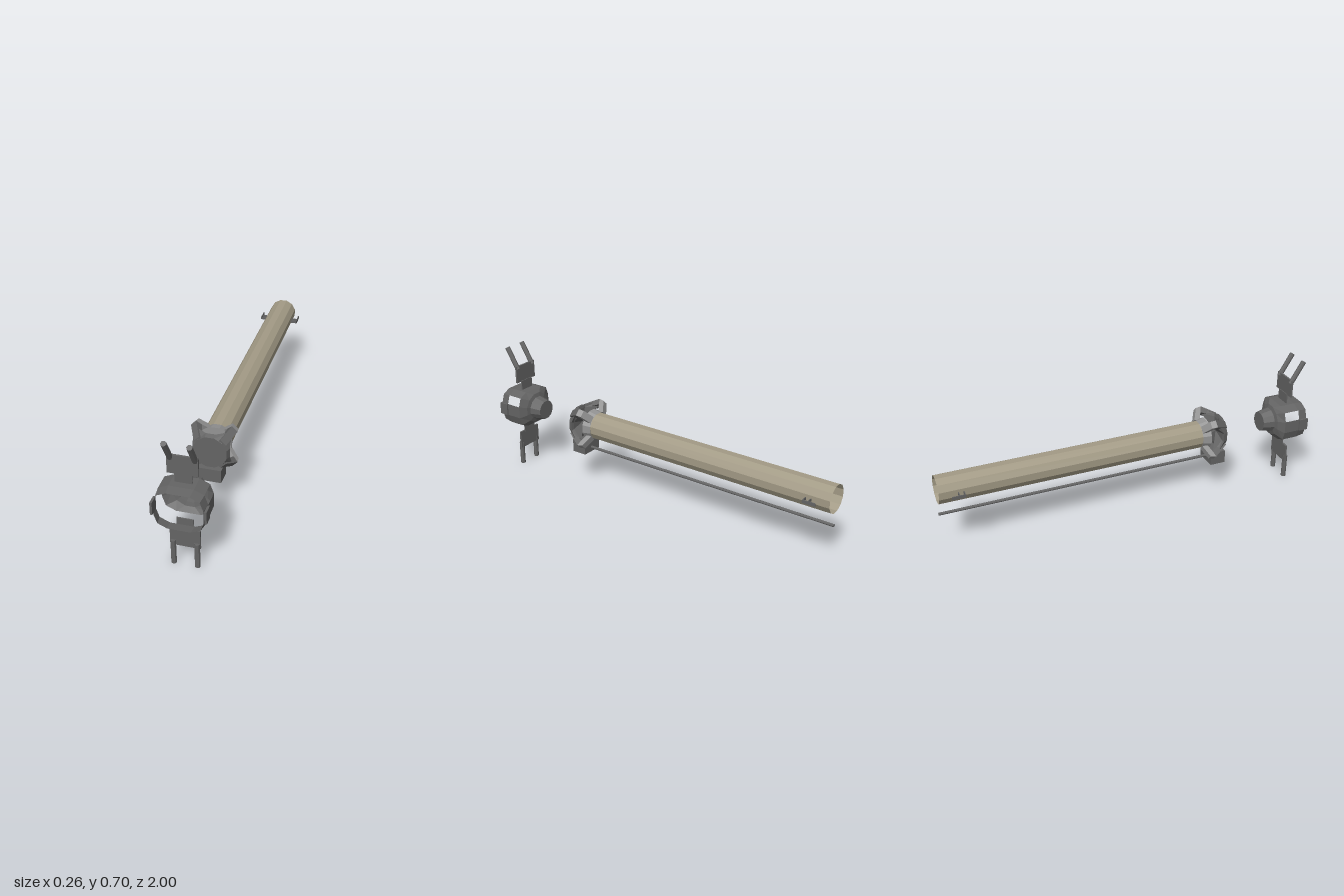
import * as THREE from 'three';

export function createModel() {
  const model = new THREE.Group();
  const mat = (name, color, side = THREE.FrontSide) => {
    const m = new THREE.MeshStandardMaterial({ color, side, flatShading: true });
    m.name = name;
    return m;
  };
  const dark = mat('dark grey', 0x646464);
  const darkOpen = dark.clone();
  darkOpen.side = THREE.DoubleSide;
  const light = mat('light grey', 0x949494);
  const khaki = mat('khaki', 0xa29a85, THREE.DoubleSide);

  const add = (name, geo, material, x = 0, y = 0, z = 0) => {
    const mesh = new THREE.Mesh(geo, material);
    mesh.name = name;
    mesh.position.set(x, y, z);
    model.add(mesh);
    return mesh;
  };
  const box = (name, w, h, d, x, y, z) =>
    add(name, new THREE.BoxGeometry(w, h, d), dark, x, y, z);
  const AXIS = 0.348;

  // Twelve-sided rings and a loft that joins them along z
  const ring = (rule) => Array.from({ length: 12 }, (_, i) => {
    const a = (i + 0.5) * Math.PI / 6;
    const [r, z] = rule(i % 3 === 1);
    return [r * Math.cos(a), r * Math.sin(a), z];
  });
  const round = (z, r) => ring(() => [r, z]);
  const loft = (rings, skip = []) => {
    const pos = [];
    for (let j = 0; j + 1 < rings.length; j++) {
      for (let i = 0; i < 12; i++) {
        if (skip.includes(i)) continue;
        const n = (i + 1) % 12, a = rings[j], b = rings[j + 1];
        pos.push(...a[i], ...a[n], ...b[n], ...a[i], ...b[n], ...b[i]);
      }
    }
    const geo = new THREE.BufferGeometry();
    geo.setAttribute('position', new THREE.Float32BufferAttribute(pos, 3));
    geo.computeVertexNormals();
    return geo;
  };

  // Long open barrel and the thin rod beneath it
  const barrel = new THREE.CylinderGeometry(0.073, 0.073, 1.41, 12, 1, true);
  barrel.rotateY(Math.PI / 12).rotateX(Math.PI / 2);
  add('barrel', barrel, khaki, 0, 0.349, -0.295);
  const rod = new THREE.CylinderGeometry(0.0075, 0.0075, 1.46, 8).rotateX(Math.PI / 2);
  add('rod', rod, dark, 0, 0.208, -0.27);

  // Small hooks at the rear of the barrel
  for (const s of [-1, 1]) {
    box('hookArm', 0.036, 0.014, 0.004, s * 0.088, 0.347, -0.879);
    box('hookArm', 0.036, 0.014, 0.004, s * 0.088, 0.347, -0.906);
    box('hookPlate', 0.005, 0.016, 0.066, s * 0.105, 0.347, -0.912);
  }

  // Muzzle cage: flared star plate, collar and four bent diagonal arms
  add('cagePlate', loft([
    round(0.505, 0),
    ring((corner) => (corner ? [0.11, 0.452] : [0.078, 0.505])),
    ring((corner) => (corner ? [0.132, 0.468] : [0.094, 0.508])),
    round(0.531, 0.085),
    round(0.531, 0),
  ]), dark, 0, AXIS, 0);
  const collar = new THREE.CylinderGeometry(0.084, 0.074, 0.045, 12);
  collar.rotateY(Math.PI / 12).rotateX(Math.PI / 2);
  add('cageCollar', collar, light, 0, AXIS, 0.4185);
  const armPart = (points) => {
    const shape = new THREE.Shape(points.map(([r, z]) => new THREE.Vector2(r, z)));
    return new THREE.ExtrudeGeometry(shape, { depth: 0.038, bevelEnabled: false })
      .translate(0, 0, -0.019).rotateX(Math.PI / 2);
  };
  const armFront = armPart([[0.07, 0.53], [0.092, 0.529], [0.142, 0.455], [0.11, 0.443], [0.078, 0.505]]);
  const armBack = armPart([[0.142, 0.455], [0.137, 0.425], [0.074, 0.396], [0.07, 0.425], [0.11, 0.443]]);
  for (let i = 0; i < 4; i++) {
    const turn = Math.PI / 4 + i * Math.PI / 2;
    add('cageArmFront', armFront, dark, 0, AXIS, 0).rotation.z = turn;
    add('cageArmBack', armBack, light, 0, AXIS, 0).rotation.z = turn;
  }
  box('rodBlock', 0.12, 0.07, 0.083, -0.005, 0.217, 0.492);
  box('rodBlockFoot', 0.03, 0.008, 0.03, 0, 0.18, 0.492);

  // Detached housing with a flattened twelve-sided outline
  const quarter = [[0.12, 0.033], [0.104, 0.08], [0.057, 0.101]];
  const outline = [
    ...quarter,
    ...quarter.map(([x, y]) => [-x, y]).reverse(),
    ...quarter.map(([x, y]) => [-x, -y]),
    ...quarter.map(([x, y]) => [x, -y]).reverse(),
  ];
  const shell = (z, k) => outline.map(([x, y]) => [x * k, y * k, z]);
  add('housingBack', loft([
    round(0.77, 0), round(0.77, 0.053), round(0.83, 0.066), round(0.836, 0.087), shell(0.862, 1),
  ]), darkOpen, 0, AXIS, 0);
  // Upper side panels are left open
  add('housingWall', loft([shell(0.862, 1), shell(0.945, 1)], [0, 4]), dark, 0, AXIS, 0);
  add('housingRim', loft([shell(0.945, 1), shell(0.994, 0.94)]), darkOpen, 0, AXIS, 0);
  for (const s of [-1, 1]) {
    box('sideClip', 0.011, 0.064, 0.05, s * 0.1225, AXIS, 0.972);
  }

  // Plates above and below the housing
  box('upperNeck', 0.08, 0.06, 0.006, 0, 0.472, 0.908);
  box('upperPlate', 0.142, 0.095, 0.01, 0, 0.5445, 0.914);
  box('lowerNeck', 0.08, 0.06, 0.006, 0, 0.222, 0.908);
  box('lowerPlate', 0.142, 0.097, 0.01, 0, 0.15, 0.914);

  // Paired pegs: the upper two lean forward, the lower two stand upright
  for (const s of [-1, 1]) {
    const upper = new THREE.CylinderGeometry(0.0135, 0.0135, 0.134, 8);
    add('upperPeg', upper, dark, s * 0.056, 0.631, 0.946).rotation.x = 0.54;
    const lower = new THREE.CylinderGeometry(0.0135, 0.0135, 0.13, 8);
    add('lowerPeg', lower, dark, s * 0.056, 0.065, 0.921);
  }
  return model;
}
